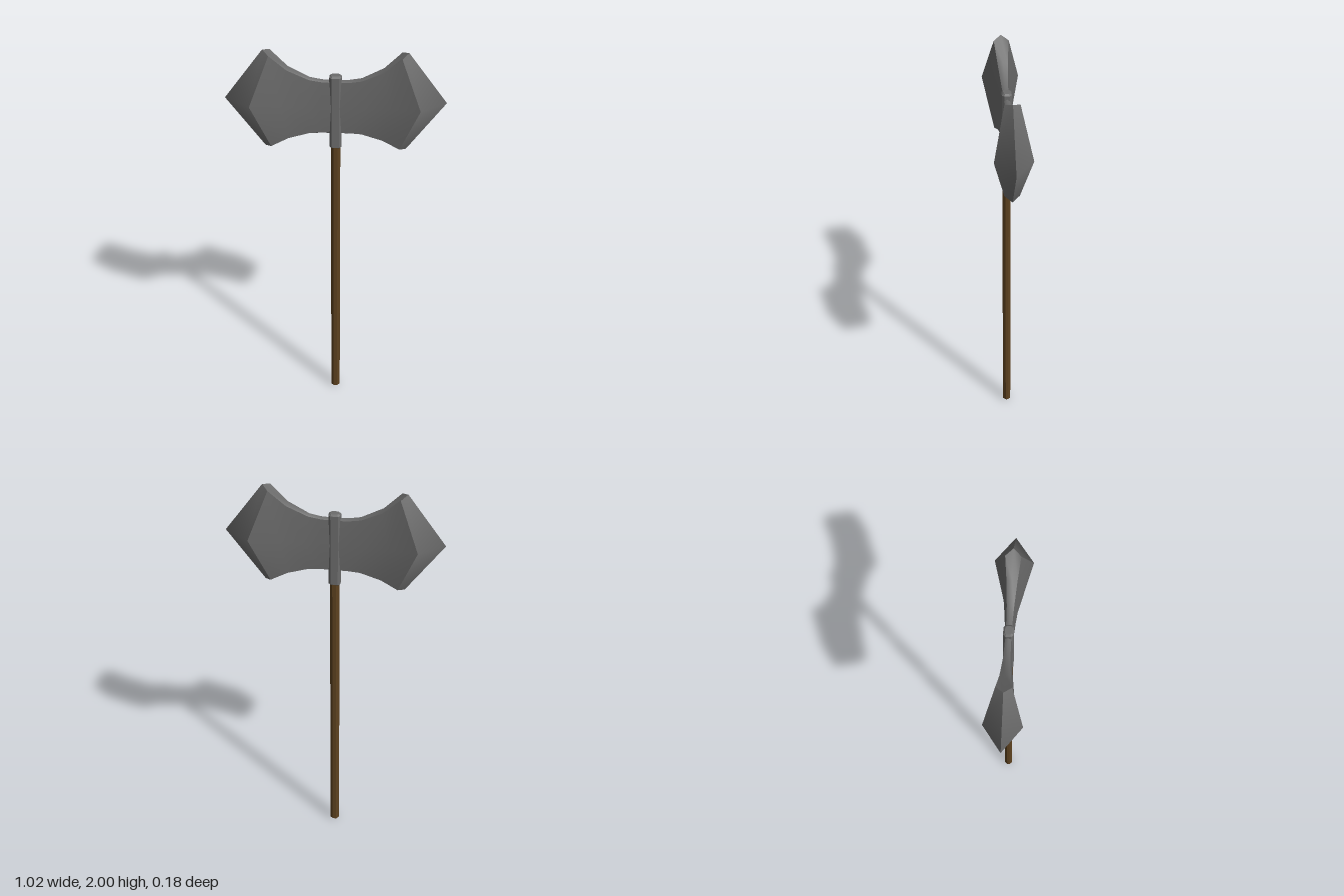
import * as THREE from 'three';

const steel = new THREE.MeshStandardMaterial({ color: 0x6c6c6c });
const steelFlat = new THREE.MeshStandardMaterial({ color: 0x6c6c6c, flatShading: true });
const wood = new THREE.MeshStandardMaterial({ color: 0x5c411f, flatShading: true });

// Blade stations: x, top y, bottom y, half thickness at the edge, half thickness at mid height
const stations = [
  [0.0, 1.855, 1.575, 0.013, 0.020],
  [0.06, 1.857, 1.575, 0.014, 0.021],
  [0.12, 1.868, 1.572, 0.016, 0.027],
  [0.22, 1.918, 1.545, 0.024, 0.042],
  [0.30, 2.0, 1.5, 0.035, 0.088],
];
const MID_X = 0.39, CREST_X = 0.33, TIP_X = 0.51, MID_Y = 1.75;

// Smooth surface patch from a grid of points; u runs along rows, v within a row
function patch(rows, flip = false) {
  const n = rows[0].length, index = [];
  for (let i = 0; i < rows.length - 1; i++) {
    for (let j = 0; j < n - 1; j++) {
      const a = i * n + j, b = a + n, c = b + 1, d = a + 1;
      index.push(...(flip ? [a, c, b, a, d, c] : [a, b, c, a, c, d]));
    }
  }
  const geo = new THREE.BufferGeometry();
  geo.setAttribute('position', new THREE.Float32BufferAttribute(rows.flat(2), 3));
  geo.setIndex(index);
  geo.computeVertexNormals();
  return geo;
}

function addMesh(parent, name, geo, material) {
  const mesh = new THREE.Mesh(geo, material);
  mesh.name = name;
  parent.add(mesh);
  return mesh;
}

// One flaring blade pointing to +x
function createBlade(name) {
  const blade = new THREE.Group();
  blade.name = name;
  const last = stations.length - 1;
  const crestX = (x, i) => (i === last ? CREST_X : x);
  const lip = (i) => (i === last ? 0.015 : 0.009);

  for (const s of [1, -1]) {
    // Broad side face, bulging at mid height
    const cheek = stations.map(([x, top, bottom, zEdge, zMid], i) => [
      [x, bottom + lip(i), s * zEdge],
      [i === last ? MID_X : x * 1.15, (top + bottom) / 2, s * zMid],
      [x, top - lip(i), s * zEdge],
    ]);
    addMesh(blade, 'bladeCheek', patch(cheek, s < 0), steel);

    // Sharpened bevel from the cheek out to the cutting edge
    const cuttingEdge = [[CREST_X, 1.5, 0], [TIP_X, MID_Y, 0], [CREST_X, 2, 0]];
    addMesh(blade, 'cuttingBevel', patch([cheek[last], cuttingEdge], s < 0), steel);
  }

  // Narrow upper and lower spines with a low crest
  const spine = (column, sign) => stations.map((st, i) => [
    [st[0], st[column] - sign * lip(i), st[3]],
    [crestX(st[0], i), st[column], 0],
    [st[0], st[column] - sign * lip(i), -st[3]],
  ]);
  addMesh(blade, 'upperSpine', patch(spine(1, 1)), steel);
  addMesh(blade, 'lowerSpine', patch(spine(2, -1), true), steel);
  return blade;
}

// Upright bar with chamfered corners and ends
function chamferedBar(halfX, halfZ, cut, y0, y1, bevel) {
  const a = halfX - bevel, b = halfZ - bevel;
  const shape = new THREE.Shape([
    [a, -b + cut], [a, b - cut], [a - cut, b], [-a + cut, b],
    [-a, b - cut], [-a, -b + cut], [-a + cut, -b], [a - cut, -b],
  ].map(([x, y]) => new THREE.Vector2(x, y)));
  const geo = new THREE.ExtrudeGeometry(shape, {
    depth: y1 - y0 - 2 * bevel,
    bevelEnabled: true, bevelSegments: 1, bevelSize: bevel, bevelThickness: bevel,
  });
  geo.rotateX(-Math.PI / 2);
  geo.translate(0, y0 + bevel, 0);
  return geo;
}

export function createModel() {
  const axe = new THREE.Group();
  axe.name = 'doubleAxe';

  addMesh(axe, 'handle', chamferedBar(0.022, 0.019, 0.008, 0, 1.55, 0.008), wood);
  addMesh(axe, 'collar', chamferedBar(0.028, 0.023, 0.006, 1.5, 1.88, 0.008), steelFlat);

  axe.add(createBlade('leftBlade'));
  const right = createBlade('rightBlade');
  right.rotation.y = Math.PI;
  axe.add(right);

  return axe;
}
